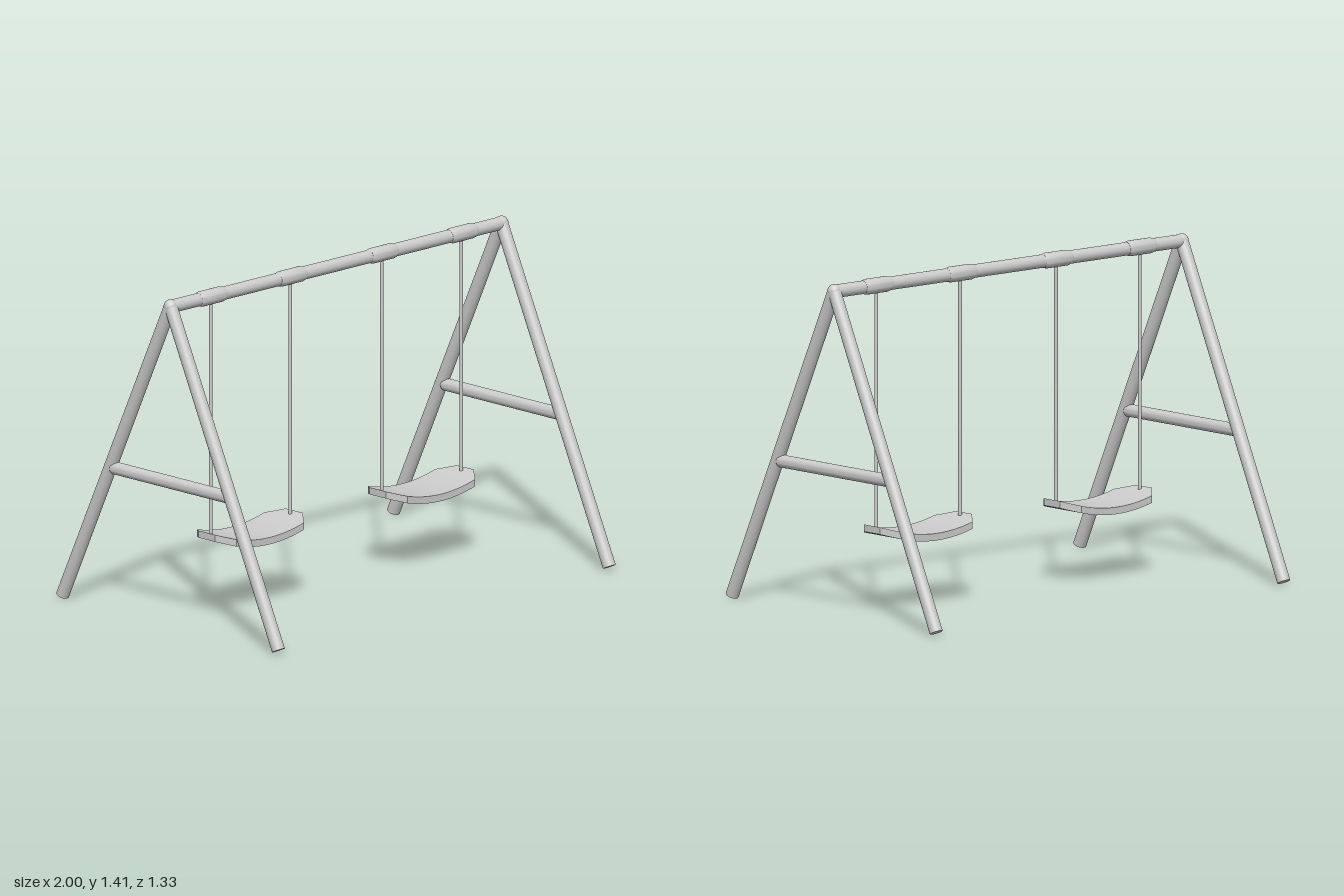
import * as THREE from 'three';
import { toCreasedNormals } from 'three/addons/utils/BufferGeometryUtils.js';

const material = new THREE.MeshStandardMaterial({ color: 0xcccccc });
const UP = new THREE.Vector3(0, 1, 0);
const BAR_Y = 1.377;
const FRAME_X = 0.971;

function add(parent, name, geometry) {
  const mesh = new THREE.Mesh(geometry, material);
  mesh.name = name;
  parent.add(mesh);
  return mesh;
}

// Round rod between two points; bevel > 0 chamfers both ends
function rod(parent, name, a, b, radius, bevel = 0, endRadius = radius, sides = 24) {
  const from = new THREE.Vector3(...a), to = new THREE.Vector3(...b);
  const h = from.distanceTo(to) / 2;
  let geometry = new THREE.CylinderGeometry(radius, radius, h * 2, sides);
  if (bevel > 0) {
    const profile = [[0, -h], [endRadius, -h], [radius, bevel - h], [radius, h - bevel], [endRadius, h], [0, h]];
    geometry = new THREE.LatheGeometry(profile.map(([x, y]) => new THREE.Vector2(x, y)), sides);
    geometry = toCreasedNormals(geometry, 0.4);
  }
  const mesh = add(parent, name, geometry);
  mesh.position.copy(from).add(to).multiplyScalar(0.5);
  mesh.quaternion.setFromUnitVectors(UP, to.sub(from).normalize());
  return mesh;
}

// Sagging board with clipped corners, bent from a subdivided box
function seatGeometry() {
  const half = 0.257, thick = 0.03;
  const geometry = new THREE.BoxGeometry(half * 2, thick, 2, 26, 1, 2);
  const p = geometry.attributes.position;
  for (let i = 0; i < p.count; i++) {
    const x = p.getX(i), t = Math.abs(x);
    const clip = THREE.MathUtils.clamp((t - 0.198) / (half - 0.198), 0, 1);
    const width = THREE.MathUtils.lerp(0.118, 0.05, clip);
    p.setXYZ(i, x, p.getY(i) + 0.3 + 0.045 * (t / half) ** 2, p.getZ(i) * width);
  }
  return toCreasedNormals(geometry, 0.5);
}

export function createModel() {
  const model = new THREE.Group();
  model.name = 'swingSet';

  rod(model, 'topBar', [-FRAME_X, BAR_Y - 0.002, 0], [FRAME_X, BAR_Y - 0.002, 0], 0.028);

  for (const side of [-1, 1]) {
    const x = side * FRAME_X;

    // A-frame at each end
    const frame = new THREE.Group();
    frame.name = side > 0 ? 'leftFrame' : 'rightFrame';
    model.add(frame);
    for (const z of [1, -1]) {
      rod(frame, z > 0 ? 'frontLeg' : 'backLeg', [x, BAR_Y, 0], [x, 0.012, z * 0.64], 0.028);
    }
    add(frame, 'apexJoint', new THREE.SphereGeometry(0.029, 24, 16)).position.set(x, BAR_Y, 0);
    rod(frame, 'crossBar', [x, 0.617, -0.346], [x, 0.617, 0.346], 0.027, 0.012, 0.019);

    // Swing: two sleeves on the bar, two ropes and a seat
    const swing = new THREE.Group();
    swing.name = side > 0 ? 'leftSwing' : 'rightSwing';
    swing.position.x = side * 0.502;
    model.add(swing);
    for (const s of [-1, 1]) {
      const rx = s * 0.234;
      rod(swing, 'sleeve', [rx - 0.075, BAR_Y - 0.002, 0], [rx + 0.075, BAR_Y - 0.002, 0], 0.033, 0.018, 0.0285);
      rod(swing, 'rope', [rx, 0.335, 0], [rx, BAR_Y - 0.02, 0], 0.008, 0, 0.008, 12);
    }
    add(swing, 'seat', seatGeometry());
  }
  return model;
}
